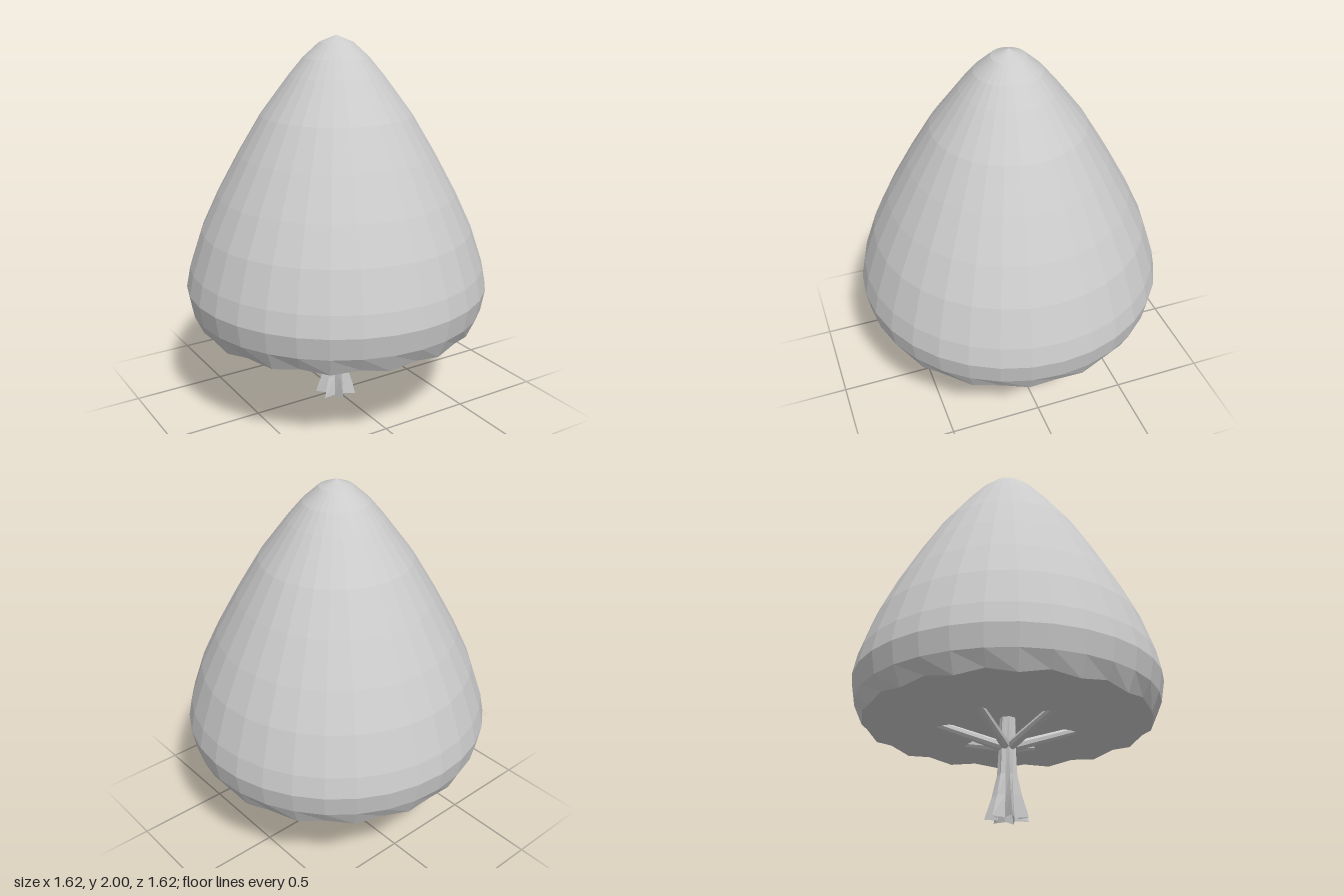
import * as THREE from 'three';

const material = new THREE.MeshStandardMaterial({ color: 0xcccccc, flatShading: true });
const openMaterial = new THREE.MeshStandardMaterial({ color: 0xcccccc, flatShading: true, side: THREE.DoubleSide });

function addMesh(parent, name, geometry, mat = material) {
  const mesh = new THREE.Mesh(geometry, mat);
  mesh.name = name;
  parent.add(mesh);
  return mesh;
}

// Canopy: faceted teardrop with a hollowed underside and a scalloped lower rim
function canopyGeometry() {
  const profile = [
    [0, 0.53], [0.39, 0.455], [0.745, 0.486], [0.79, 0.575], [0.81, 0.69],
    [0.788, 0.8], [0.72, 1.0], [0.63, 1.19], [0.515, 1.4], [0.395, 1.6],
    [0.245, 1.8], [0.17, 1.89], [0.087, 1.965], [0, 2],
  ].map(([r, y]) => new THREE.Vector2(r, y));
  const sides = 32, rim = 2;
  const geometry = new THREE.LatheGeometry(profile, sides);
  const pos = geometry.attributes.position;
  for (let i = 0; i <= sides; i++) {
    const k = i * profile.length + rim;
    pos.setY(k, i % 2 ? 0.475 : 0.498);
  }
  return geometry;
}

// Trunk: seven ridges that flare into roots at the ground
function trunkGeometry() {
  const levels = [ // y, ridge radius, groove radius
    [0, 0.116, 0.055], [0.11, 0.08, 0.046], [0.22, 0.054, 0.04],
    [0.36, 0.046, 0.038], [0.56, 0.042, 0.039],
  ];
  const lobes = 7;
  const geometry = new THREE.CylinderGeometry(1, 1, 1, lobes * 2, levels.length - 1, true, Math.PI / 2);
  const pos = geometry.attributes.position;
  for (let i = 0; i < pos.count; i++) {
    const row = Math.round((pos.getY(i) + 0.5) * (levels.length - 1));
    const angle = Math.atan2(pos.getZ(i), pos.getX(i));
    const [y, ridge, groove] = levels[row];
    const r = Math.cos(angle * lobes) > 0 ? ridge : groove;
    pos.setXYZ(i, r * Math.cos(angle), y, r * Math.sin(angle));
  }
  return geometry;
}

export function createModel() {
  const tree = new THREE.Group();
  tree.name = 'tree';
  addMesh(tree, 'canopy', canopyGeometry());
  addMesh(tree, 'trunk', trunkGeometry(), openMaterial);

  // Six branches rising from the trunk into the canopy
  const branches = new THREE.Group();
  branches.name = 'branches';
  tree.add(branches);
  const up = new THREE.Vector3(0, 1, 0);
  for (let i = 0; i < 6; i++) {
    const a = i * Math.PI / 3;
    const start = new THREE.Vector3(0, 0.365, 0);
    const end = new THREE.Vector3(0.4 * Math.cos(a), 0.488, 0.4 * Math.sin(a));
    const dir = end.clone().sub(start);
    const branch = addMesh(branches, 'branch', new THREE.CylinderGeometry(0.02, 0.027, dir.length(), 8));
    branch.position.copy(start).addScaledVector(dir, 0.5);
    branch.quaternion.setFromUnitVectors(up, dir.normalize());
  }
  return tree;
}
